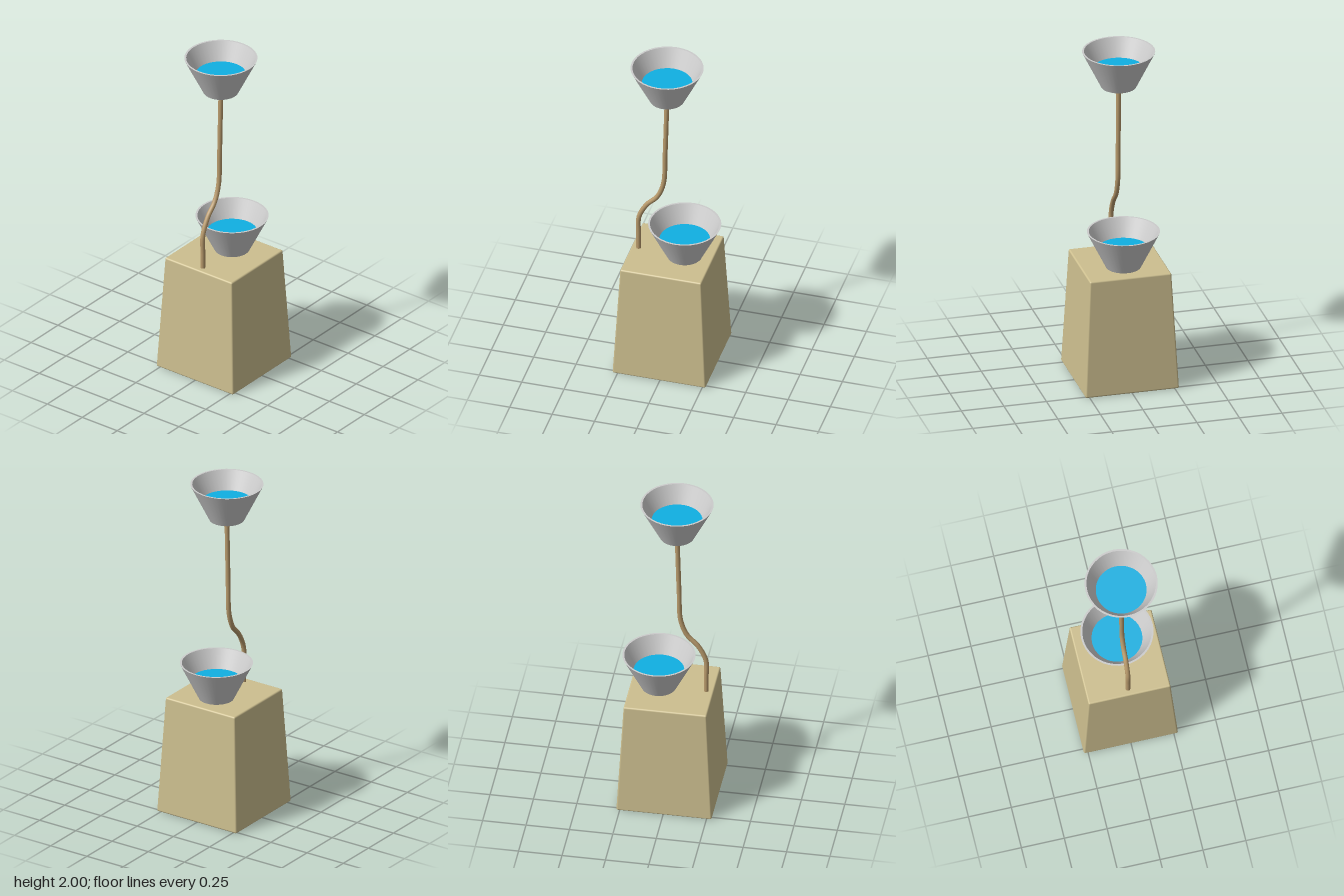
import * as THREE from 'three';
import { toCreasedNormals } from 'three/addons/utils/BufferGeometryUtils.js';
import { RoundedBoxGeometry } from 'three/addons/geometries/RoundedBoxGeometry.js';

const material = (color) => new THREE.MeshStandardMaterial({ color });
const stone = material(0xcdbf8f);
const brass = material(0xb89a6c);
const grey = material(0xcccccc);
const blue = material(0x10b0e2);

function addMesh(parent, name, geometry, mat, x = 0, y = 0) {
  const mesh = new THREE.Mesh(geometry, mat);
  mesh.name = name;
  mesh.position.set(x, y, 0);
  parent.add(mesh);
  return mesh;
}

// Square block with softened edges, narrowing towards the top
function taperedBlock(width, height, topWidth, radius) {
  const geo = new RoundedBoxGeometry(width, height, width, 3, radius);
  geo.translate(0, height / 2, 0);
  const pos = geo.attributes.position;
  const nor = geo.attributes.normal;
  const slope = (width - topWidth) / 2 / height;
  const n = new THREE.Vector3();
  for (let i = 0; i < pos.count; i++) {
    const s = THREE.MathUtils.lerp(1, topWidth / width, pos.getY(i) / height);
    pos.setX(i, pos.getX(i) * s);
    pos.setZ(i, pos.getZ(i) * s);
    n.fromBufferAttribute(nor, i);
    n.y += slope * Math.hypot(n.x, n.z);
    n.normalize();
    nor.setXYZ(i, n.x, n.y, n.z);
  }
  return geo;
}

// Flared hollow bowl holding a disc of water
function makeBowl(name, x, y) {
  const bowl = new THREE.Group();
  bowl.name = name;
  bowl.position.set(x, y, 0);
  const profile = [[0, 0], [0.1, 0], [0.208, 0.218], [0.197, 0.218], [0.095, 0.012], [0, 0.012]]
    .map(([r, h]) => new THREE.Vector2(r, h));
  addMesh(bowl, 'bowlShell', toCreasedNormals(new THREE.LatheGeometry(profile, 40), 0.5), grey);
  const water = new THREE.CircleGeometry(0.146, 40).rotateX(-Math.PI / 2);
  addMesh(bowl, 'water', water, blue, 0, 0.112);
  return bowl;
}

export function createModel() {
  const model = new THREE.Group();
  model.name = 'twoBowlFountain';

  // Pedestal
  addMesh(model, 'pedestal', taperedBlock(0.55, 0.705, 0.478, 0.01), stone, -0.005, 0);

  // Bowls
  model.add(makeBowl('lowerBowl', 0.07, 0.706));
  model.add(makeBowl('upperBowl', -0.034, 1.782));

  // Bent pipe carrying the upper bowl
  const path = new THREE.CatmullRomCurve3([
    [-0.202, 0.69], [-0.202, 0.8], [-0.2, 0.92], [-0.155, 1.015], [-0.092, 1.085],
    [-0.055, 1.185], [-0.046, 1.38], [-0.04, 1.58], [-0.034, 1.78],
  ].map(([x, y]) => new THREE.Vector3(x, y, 0)));
  addMesh(model, 'pipe', new THREE.TubeGeometry(path, 64, 0.014, 16), brass);

  // Mounting plate under the upper bowl
  addMesh(model, 'mountingPlate', new THREE.CylinderGeometry(0.08, 0.08, 0.012, 40), brass, -0.034, 1.778);

  return model;
}
